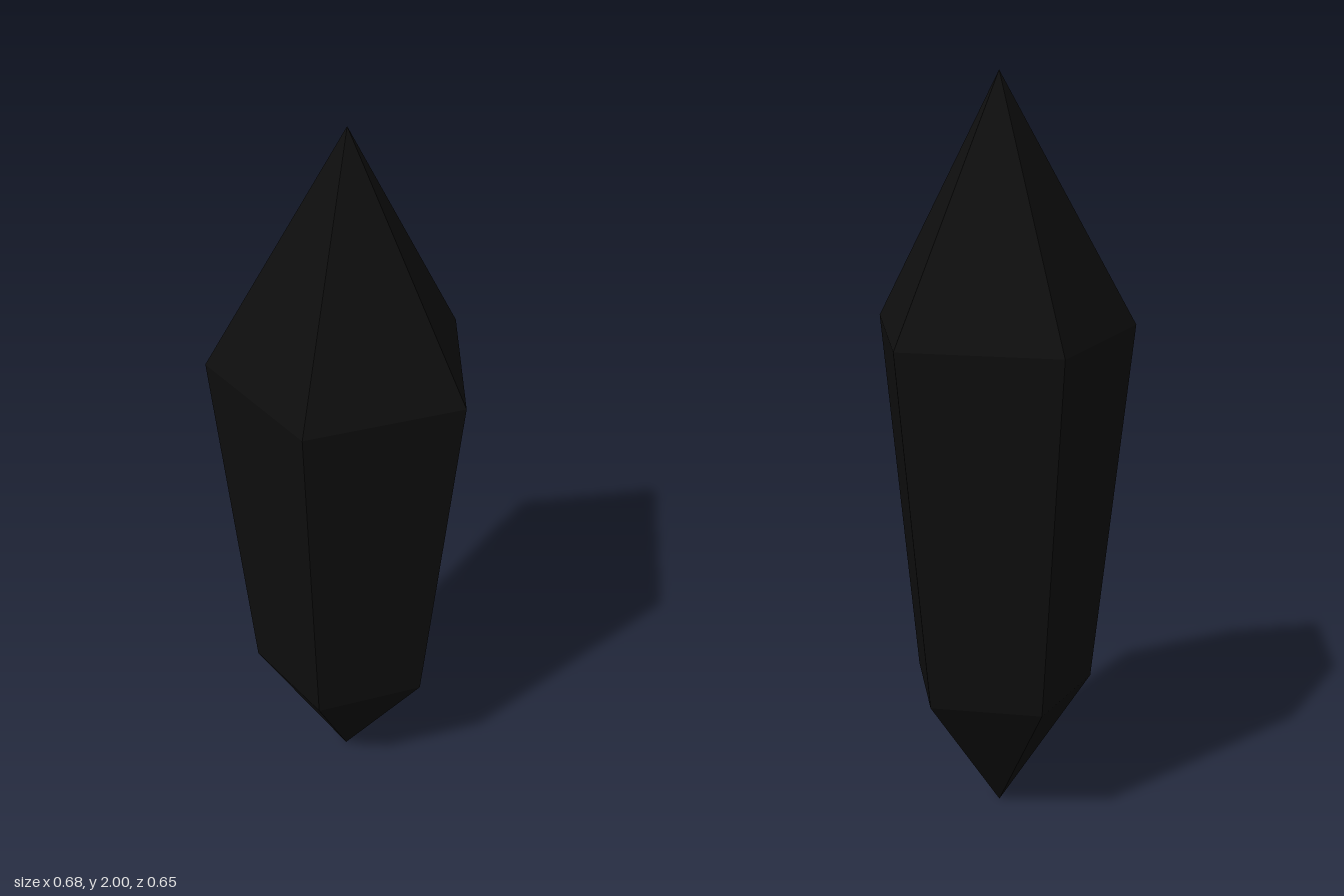
import * as THREE from 'three';

export function createModel() {
  const crystal = new THREE.Group();
  crystal.name = 'crystal';
  const material = new THREE.MeshStandardMaterial({ color: 0x0e0e0e, flatShading: true });

  // Five-sided section with one corner towards the front
  function addSection(name, yBottom, yTop, rBottom, rTop) {
    const height = yTop - yBottom;
    const geometry = new THREE.CylinderGeometry(rTop, rBottom, height, 5, 1, true);
    const mesh = new THREE.Mesh(geometry, material);
    mesh.name = name;
    mesh.position.y = yBottom + height / 2;
    crystal.add(mesh);
  }

  addSection('lowerPoint', 0, 0.36, 0, 0.253);
  addSection('shaft', 0.36, 1.345, 0.253, 0.36);
  addSection('upperPoint', 1.345, 2, 0.36, 0);

  // The axis sits slightly back so the pentagon is centred in depth
  crystal.position.z = -0.034;

  const model = new THREE.Group();
  model.name = 'crystalShard';
  model.add(crystal);
  return model;
}
